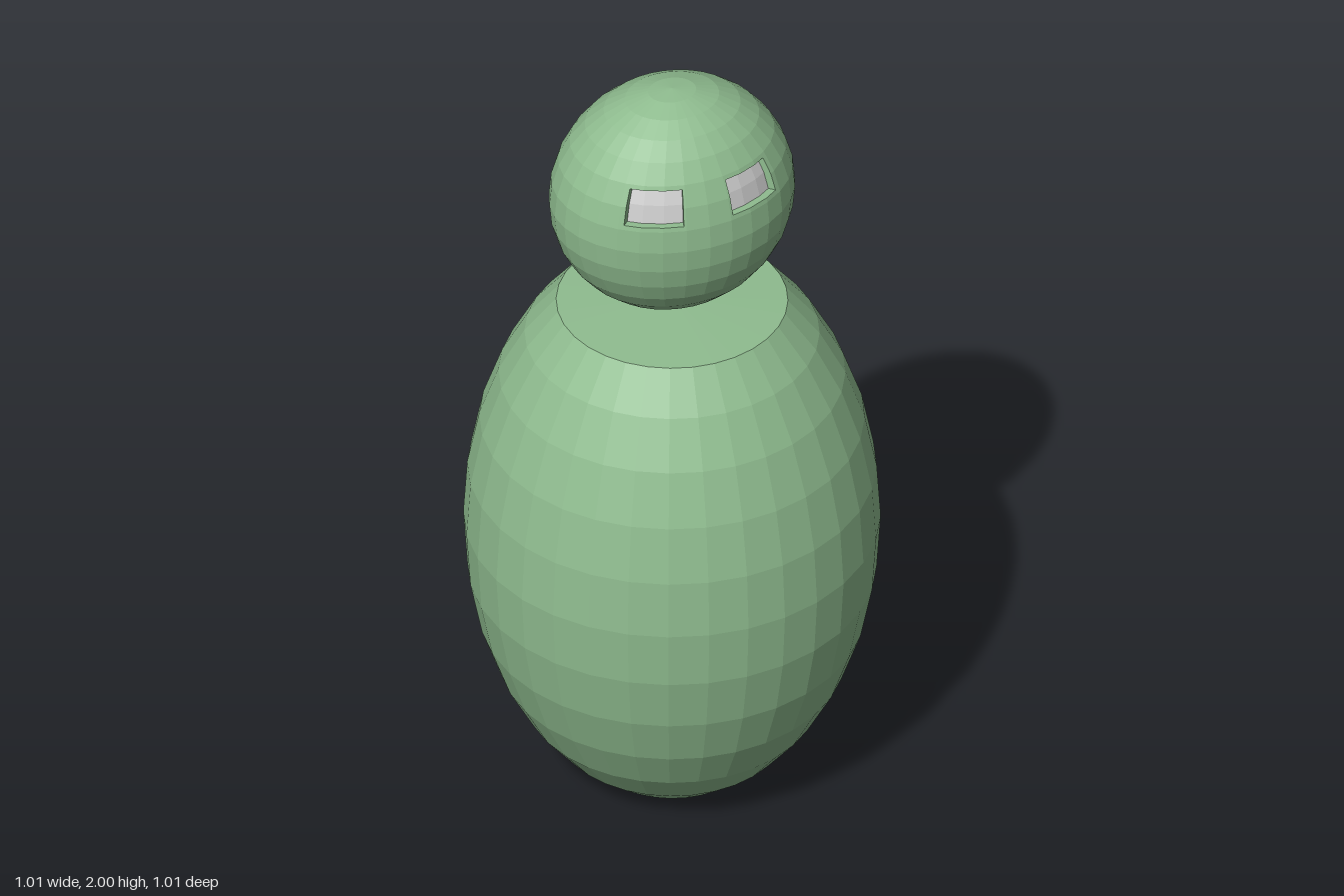
import * as THREE from 'three';

const STEP = 11.25; // angle of one facet, 32 around
const RAD = Math.PI / 180;
const HEAD = { x: 0.305, y: 0.305, z: 0.255, centre: 1.695 };
const EYE = { lon: [12.5, 42], lat: [13.5, 31.5], inset: 0.93 };

const green = new THREE.MeshStandardMaterial({ color: 0x8fbc8f, flatShading: true, side: THREE.DoubleSide });
const grey = new THREE.MeshStandardMaterial({ color: 0xcccccc, flatShading: true, side: THREE.DoubleSide });

function mesh(name, geometry, material) {
  const m = new THREE.Mesh(geometry, material);
  m.name = name;
  return m;
}

// point on the faceted head; inset below 1 moves it toward the vertical axis
function headPoint(lon, lat, inset = 1) {
  const node = (i, j) => new THREE.Vector3(
    HEAD.x * Math.sin(i * STEP * RAD) * Math.cos(j * STEP * RAD),
    HEAD.centre + HEAD.y * Math.sin(j * STEP * RAD),
    HEAD.z * Math.cos(i * STEP * RAD) * Math.cos(j * STEP * RAD));
  const u = lon / STEP, v = lat / STEP;
  const i = Math.floor(u), j = Math.floor(v);
  const low = node(i, j).lerp(node(i + 1, j), u - i);
  const high = node(i, j + 1).lerp(node(i + 1, j + 1), u - i);
  const p = low.lerp(high, v - j);
  p.x *= inset;
  p.z *= inset;
  return p;
}

function quadsGeometry(quads) {
  const points = quads.flatMap(([a, b, c, d]) => [a, b, c, a, c, d]);
  const g = new THREE.BufferGeometry().setFromPoints(points);
  g.computeVertexNormals();
  return g;
}

// facet lines between two angles, with extra lines at the eye edges
function lines(from, to, extra) {
  const list = extra.filter(e => e > from && e < to);
  for (let a = from; a <= to; a += STEP) list.push(a);
  return list.sort((a, b) => a - b);
}

const inside = (v, [lo, hi]) => v > lo && v < hi;

// head shell with two eye openings
function headShell() {
  const lons = lines(-180, 180, [...EYE.lon, ...EYE.lon.map(l => -l)]);
  const lats = lines(-5 * STEP, 90, EYE.lat);
  const quads = [];
  for (let i = 0; i < lons.length - 1; i++) {
    for (let j = 0; j < lats.length - 1; j++) {
      const [a, b, c, d] = [lons[i], lons[i + 1], lats[j], lats[j + 1]];
      if (inside(Math.abs((a + b) / 2), EYE.lon) && inside((c + d) / 2, EYE.lat)) continue;
      quads.push([headPoint(a, c), headPoint(b, c), headPoint(b, d), headPoint(a, d)]);
    }
  }
  return quadsGeometry(quads);
}

// recessed eye: green walls around a grey pane
function eye(name, side) {
  const [l0, l1] = side > 0 ? EYE.lon : [-EYE.lon[1], -EYE.lon[0]];
  const lons = lines(Math.floor(l0 / STEP) * STEP, l1, [l0, l1]).filter(l => l >= l0);
  if (lons[lons.length - 1] < l1) lons.push(l1);
  const lats = [EYE.lat[0], 2 * STEP, EYE.lat[1]];
  const [bottom, , top] = lats;
  const k = EYE.inset, pane = [], walls = [];
  const wall = (a, b, c, d) => walls.push(
    [headPoint(a, b), headPoint(c, d), headPoint(c, d, k), headPoint(a, b, k)]);
  for (let i = 0; i < lons.length - 1; i++) {
    const a = lons[i], b = lons[i + 1];
    wall(a, bottom, b, bottom);
    wall(b, top, a, top);
    for (let j = 0; j < 2; j++) {
      const c = lats[j], d = lats[j + 1];
      pane.push([headPoint(a, c, k), headPoint(b, c, k), headPoint(b, d, k), headPoint(a, d, k)]);
    }
  }
  for (let j = 0; j < 2; j++) {
    wall(l0, lats[j + 1], l0, lats[j]);
    wall(l1, lats[j], l1, lats[j + 1]);
  }
  const g = new THREE.Group();
  g.name = name;
  g.add(mesh('eyePane', quadsGeometry(pane), grey), mesh('eyeSocket', quadsGeometry(walls), green));
  return g;
}

export function createModel() {
  const model = new THREE.Group();
  model.name = 'figure';

  // barrel-shaped body with nearly flat ends
  const profile = [new THREE.Vector2(0, 0)];
  for (let j = -6; j <= 5; j++) {
    const a = j * STEP * RAD;
    profile.push(new THREE.Vector2(0.505 * Math.cos(a), 0.721 + 0.774 * Math.sin(a)));
  }
  profile.push(new THREE.Vector2(0, 1.376));
  model.add(mesh('body', new THREE.LatheGeometry(profile, 32), green));

  // floating head
  const head = new THREE.Group();
  head.name = 'head';
  const base = mesh('headBase', new THREE.CircleGeometry(1, 32).rotateX(Math.PI / 2), green);
  const cut = 5 * STEP * RAD;
  base.scale.set(HEAD.x * Math.cos(cut), 1, HEAD.z * Math.cos(cut));
  base.position.y = HEAD.centre - HEAD.y * Math.sin(cut);
  head.add(mesh('headShell', headShell(), green), base, eye('leftEye', 1), eye('rightEye', -1));
  model.add(head);
  return model;
}
